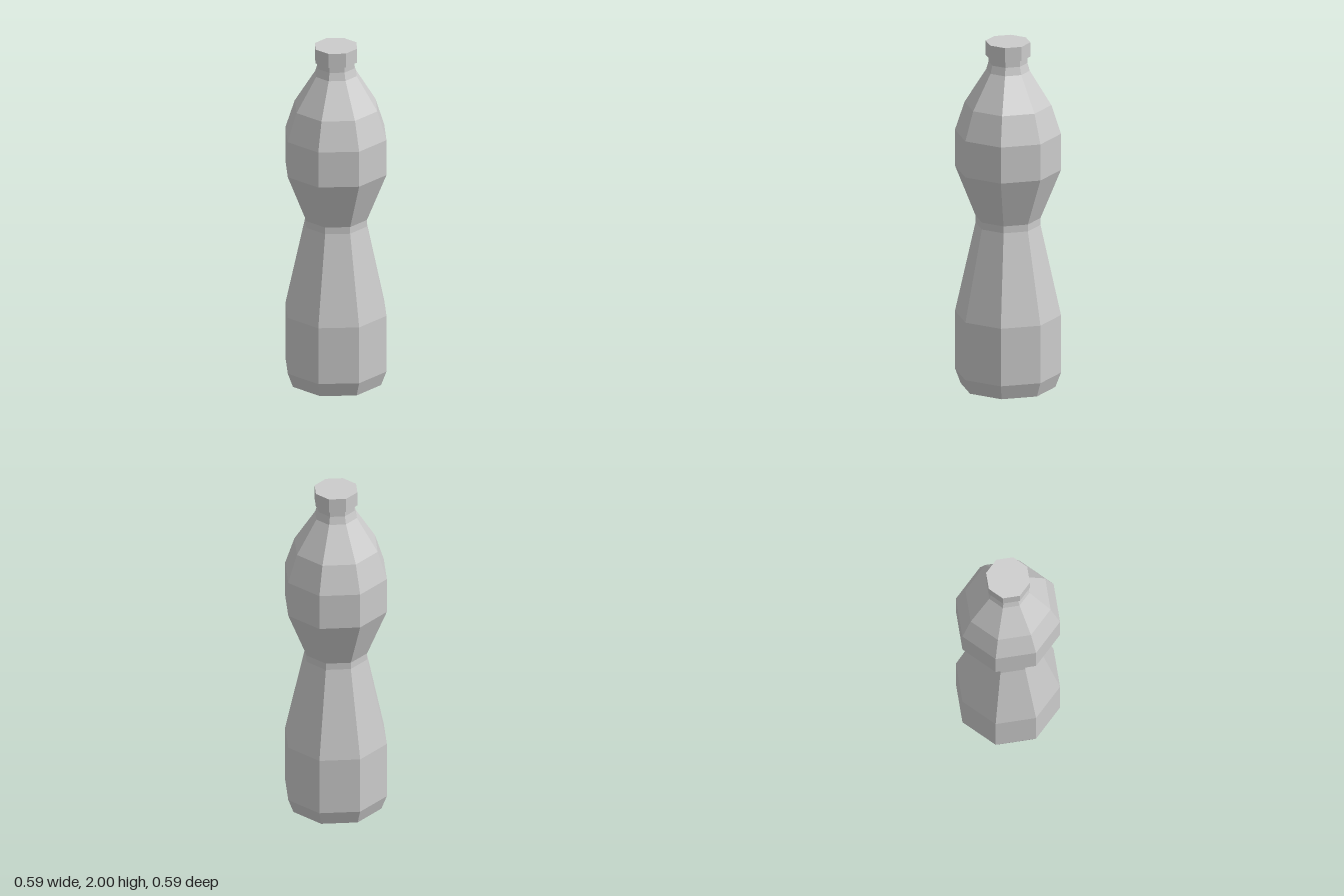
import * as THREE from 'three';

const SIDES = 8;

// Revolve a [radius, height] profile, listed from bottom to top, into a faceted solid
function turned(name, profile, material) {
  const points = profile.map(([r, y]) => new THREE.Vector2(r, y));
  const mesh = new THREE.Mesh(new THREE.LatheGeometry(points, SIDES), material);
  mesh.name = name;
  return mesh;
}

export function createModel() {
  const model = new THREE.Group();
  model.name = 'bottle';
  const material = new THREE.MeshStandardMaterial({ color: 0xcccccc, flatShading: true });

  // Body: bevelled base, pinched waist, rounded shoulder and neck
  model.add(turned('body', [
    [0, 0], [0.265, 0], [0.297, 0.085], [0.297, 0.42],
    [0.182, 0.94], [0.182, 0.98],
    [0.297, 1.265], [0.297, 1.475], [0.243, 1.64],
    [0.122, 1.835], [0.109, 1.88], [0.109, 1.92],
  ], material));

  // Screw cap, slightly wider than the neck
  model.add(turned('cap', [
    [0, 1.917], [0.125, 1.917], [0.125, 2], [0, 2],
  ], material));

  return model;
}
